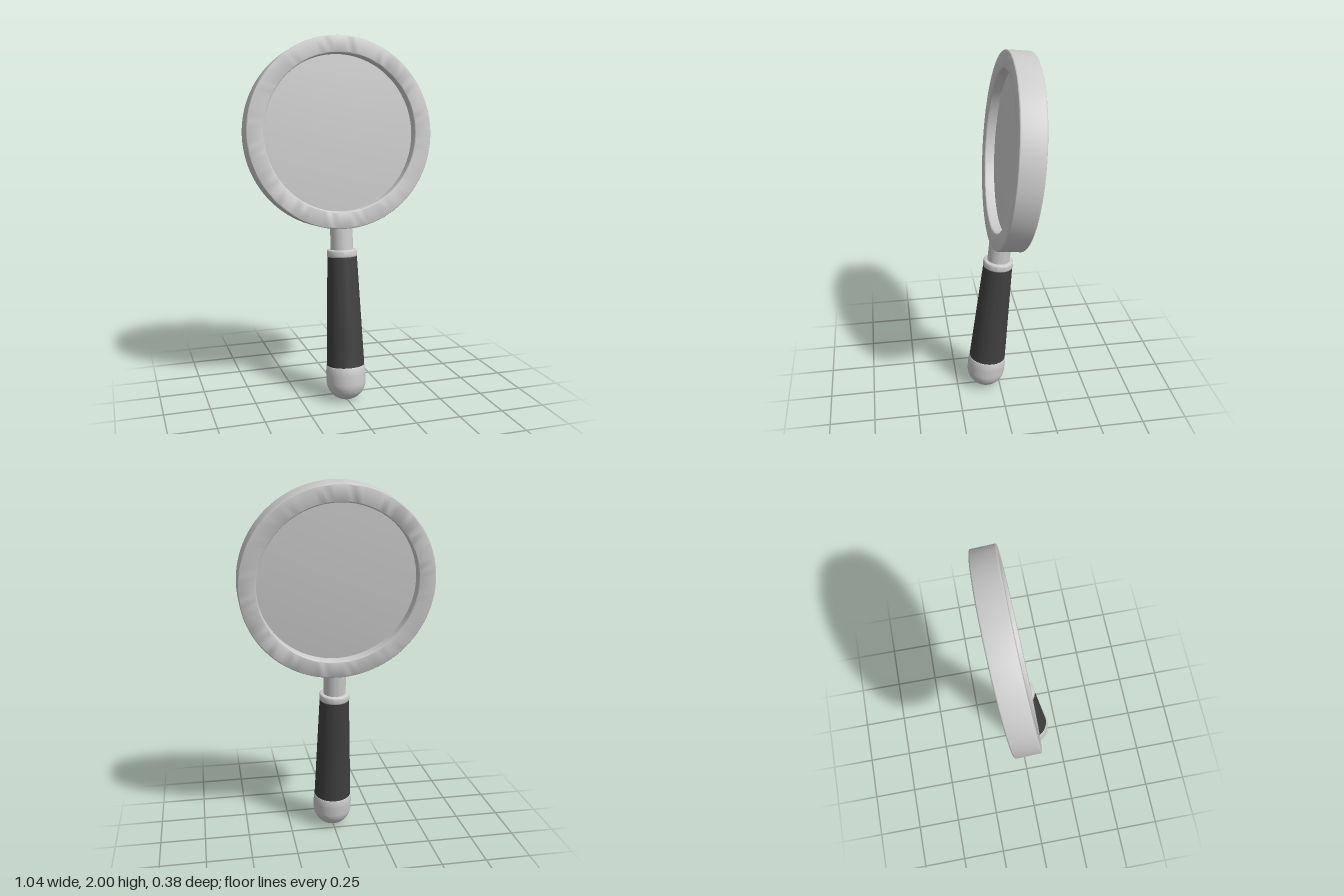
import * as THREE from 'three';
import { toCreasedNormals } from 'three/addons/utils/BufferGeometryUtils.js';

const GREY = 0xcccccc;
const DARK = 0x404040;

// Revolves [radius, height] points (listed bottom to top) around the y axis.
function turned(name, points, color = GREY, segments = 64) {
  const profile = points.map(([r, y]) => new THREE.Vector2(r, y));
  const geometry = toCreasedNormals(new THREE.LatheGeometry(profile, segments), 0.6);
  const mesh = new THREE.Mesh(geometry, new THREE.MeshStandardMaterial({ color }));
  mesh.name = name;
  return mesh;
}

// Quarter or half arc as [radius, height] points.
function arc(cx, cy, r, from, to, steps) {
  return Array.from({ length: steps + 1 }, (_, i) => {
    const a = from + ((to - from) * i) / steps;
    return [Math.max(0, cx + r * Math.cos(a)), cy + r * Math.sin(a)];
  });
}

export function createModel() {
  const model = new THREE.Group();
  model.name = 'magnifyingGlass';

  // Everything is built upright around the pommel centre, then leaned back.
  const tilted = new THREE.Group();
  tilted.name = 'tiltedBody';
  tilted.position.set(0, 0.11, 0.077);
  tilted.rotation.x = -0.105;
  model.add(tilted);

  // Handle: rounded pommel, end band, tapered grip, collar and neck
  const H = Math.PI / 2;
  tilted.add(
    turned('pommel', [...arc(0, 0, 0.11, -H, 0, 20), [0.11, 0.045]]),
    turned('pommelBand', [[0.11, 0.045], ...arc(0.1, 0.082, 0.008, 0, H, 5), [0, 0.09]]),
    turned('grip', [[0, 0.085], [0.105, 0.085], [0.082, 0.695], [0, 0.695]], DARK),
    turned('collar', [[0, 0.69], ...arc(0.074, 0.702, 0.01, -H, 0, 5),
      ...arc(0.074, 0.725, 0.01, 0, H, 5), [0, 0.735]]),
    turned('neck', [[0.062, 0.72], [0.062, 0.89]])
  );

  // Head: bevelled rim and lens, both turned so their axis faces forward
  const head = new THREE.Group();
  head.name = 'head';
  head.position.y = 1.373;
  head.rotation.x = H;
  const outer = 0.522, inner = 0.427, half = 0.068, bevel = 0.008;
  const rim = [
    ...arc(outer - bevel, -half + bevel, bevel, -H, 0, 4),
    ...arc(outer - bevel, half - bevel, bevel, 0, H, 4),
    ...arc(inner + bevel, half - bevel, bevel, H, 2 * H, 4),
    ...arc(inner + bevel, -half + bevel, bevel, 2 * H, 3 * H, 4),
  ];
  rim.push(rim[0]);
  head.add(turned('rim', rim, GREY, 96));

  // Gently domed lens, the same on both faces
  const dome = Array.from({ length: 11 }, (_, i) => {
    const t = i / 10;
    return [0.43 * t, 0.012 + 0.013 * (1 - t * t)];
  });
  const lens = [...dome.map(([r, y]) => [r, -y]), ...dome.slice().reverse()];
  head.add(turned('lens', lens, GREY, 96));
  tilted.add(head);

  return model;
}
